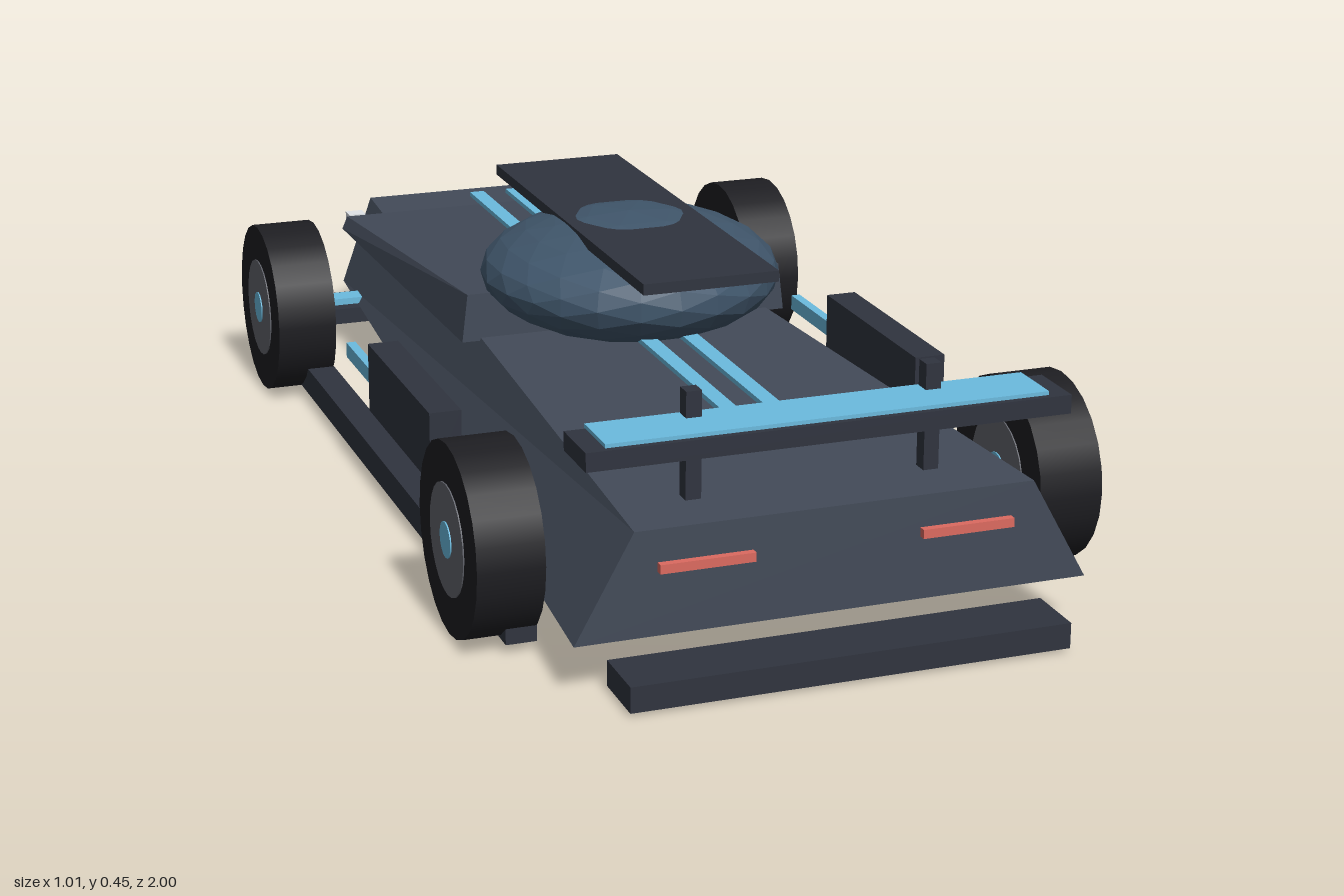
import * as THREE from 'three';

const material = (color, flatShading = false) => new THREE.MeshStandardMaterial({ color, flatShading });
const paint = material(0x434b59, true);
const dark = material(0x30343f);
const blue = material(0x6bbbdf);
const glass = material(0x40566b, true);
const rubber = material(0x1e1e22);
const metal = material(0x62646c);
const red = material(0xdc6a60);
const white = material(0xe0e4e8);

export function createModel() {
  const car = new THREE.Group();
  car.name = 'raceCar';

  const add = (name, geometry, mat, x = 0, y = 0, z = 0) => {
    const mesh = new THREE.Mesh(geometry, mat);
    mesh.name = name;
    mesh.position.set(x, y, z);
    car.add(mesh);
    return mesh;
  };

  // Box given by its extents on each axis
  const box = (name, mat, [x0, x1], [y0, y1], [z0, z1]) =>
    add(name, new THREE.BoxGeometry(x1 - x0, y1 - y0, z1 - z0), mat,
      (x0 + x1) / 2, (y0 + y1) / 2, (z0 + z1) / 2);

  // Mirrored pair of boxes
  const pair = (name, mat, [x0, x1], y, z) => {
    box('left' + name, mat, [x0, x1], y, z);
    box('right' + name, mat, [-x1, -x0], y, z);
  };

  // Unit box reshaped by a rule that receives which side each corner is on
  const shaped = (name, mat, rule) => {
    const geometry = new THREE.BoxGeometry(2, 2, 2);
    const p = geometry.attributes.position;
    for (let i = 0; i < p.count; i++) {
      p.setXYZ(i, ...rule(p.getX(i), p.getY(i) > 0, p.getZ(i) > 0));
    }
    geometry.computeVertexNormals();
    return add(name, geometry, mat);
  };

  // Body: trapezoid section that narrows towards -z
  shaped('body', paint, (side, top, wide) => [
    side * (top ? 0.31 : 0.4) * (wide ? 1 : 0.65),
    top ? 0.245 : 0.083,
    wide ? 0.925 : -0.905,
  ]);

  // Sloping hood wedge
  shaped('hood', paint, (side, top, high) => [
    side * (top ? 0.278 : 0.288),
    high ? (top ? 0.322 : 0.24) : (top ? 0.245 : 0.222),
    high ? 0.01 : -0.79,
  ]);

  // Canopy and roof panel
  const canopy = add('canopy', new THREE.IcosahedronGeometry(1, 3), glass, 0, 0.346, 0.03);
  canopy.scale.set(0.25, 0.102, 0.255);
  box('roofPanel', dark, [-0.113, 0.113], [0.422, 0.44], [-0.355, 0.415]);

  // Racing stripes
  pair('Stripe', blue, [0.022, 0.049], [0.277, 0.285], [-0.74, 0.685]);

  // Bumper and splitter
  box('bumper', dark, [-0.342, 0.342], [0.005, 0.045], [0.9, 1]);
  box('splitter', dark, [-0.3, 0.3], [0, 0.03], [-1, -0.89]);

  // Wing on two posts
  box('wing', dark, [-0.375, 0.375], [0.335, 0.364], [0.81, 0.907]);
  box('wingTrim', blue, [-0.343, 0.343], [0.355, 0.37], [0.805, 0.897]);
  pair('WingPost', dark, [0.175, 0.199], [0.24, 0.41], [0.808, 0.833]);

  // Side pods, trims and skirts
  pair('SidePod', dark, [0.388, 0.44], [0.125, 0.242], [-0.03, 0.34]);
  pair('SideTrim', blue, [0.408, 0.424], [0.152, 0.178], [-0.24, 0.345]);
  pair('Skirt', dark, [0.394, 0.442], [0.015, 0.063], [-0.735, 0.737]);

  // Small blue fins and lights
  pair('Fin', blue, [0.24, 0.427], [0.085, 0.097], [-0.787, -0.745]);
  pair('TailLight', red, [0.13, 0.275], [0.181, 0.195], [0.92, 0.937]);
  pair('HeadLight', white, [0.224, 0.256], [0.21, 0.227], [-0.888, -0.86]);

  // Wheels: tyre, rim and hub
  const cylinder = (radius, width, sides) =>
    new THREE.CylinderGeometry(radius, radius, width, sides).rotateZ(Math.PI / 2);
  const layers = [
    ['Tyre', cylinder(0.15, 0.104, 24), rubber],
    ['Rim', cylinder(0.087, 0.108, 24), metal],
    ['Hub', cylinder(0.028, 0.112, 16), blue],
  ];
  for (const side of [-1, 1]) {
    for (const z of [0.637, -0.577]) {
      const name = (side > 0 ? 'left' : 'right') + (z > 0 ? 'Front' : 'Back');
      for (const [part, geometry, mat] of layers) {
        add(name + part, geometry, mat, side * 0.447, 0.151, z);
      }
    }
  }

  return car;
}
